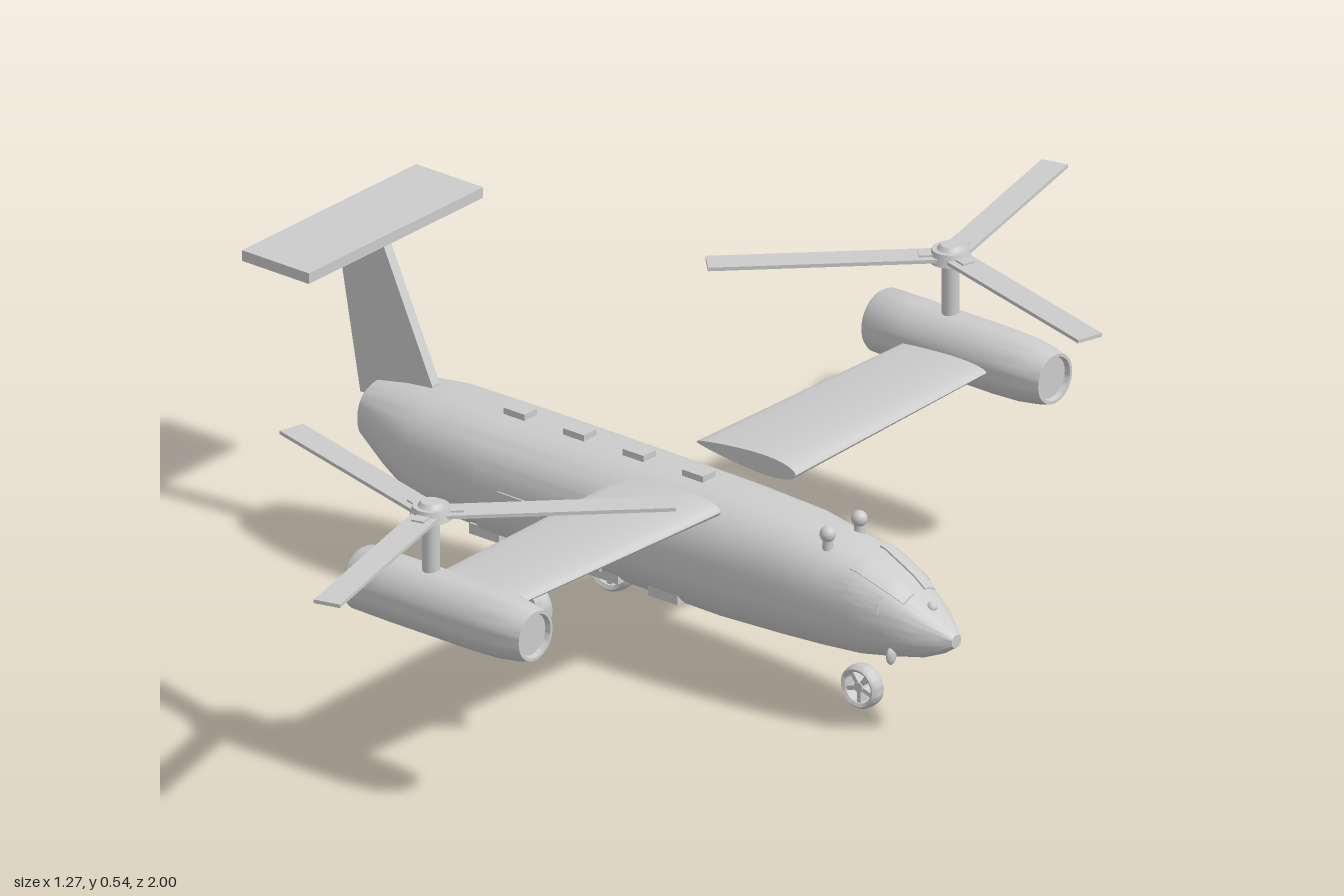
import * as THREE from 'three';
import { toCreasedNormals, mergeGeometries } from 'three/addons/utils/BufferGeometryUtils.js';

const material = new THREE.MeshStandardMaterial({ color: 0xcccccc, side: THREE.DoubleSide });

function add(parent, name, geometry, x = 0, y = 0, z = 0) {
  const mesh = new THREE.Mesh(geometry, material);
  mesh.name = name;
  mesh.position.set(x, y, z);
  parent.add(mesh);
  return mesh;
}

// Grid surface through point(i, j), with edges sharper than the crease kept hard
function loft(nu, nv, point, crease = 0.6) {
  const positions = [], index = [];
  for (let i = 0; i <= nu; i++) for (let j = 0; j <= nv; j++) positions.push(...point(i, j));
  for (let i = 0; i < nu; i++) for (let j = 0; j < nv; j++) {
    const a = i * (nv + 1) + j, b = a + nv + 1;
    index.push(a, b, b + 1, a, b + 1, a + 1);
  }
  const g = new THREE.BufferGeometry();
  g.setAttribute('position', new THREE.Float32BufferAttribute(positions, 3));
  g.setIndex(index);
  return toCreasedNormals(g, crease);
}

// Fuselage stations: x, bottom, top, half width
const stations = [
  [-0.53, 0.188, 0.285, 0.058], [-0.47, 0.155, 0.297, 0.082], [-0.4, 0.118, 0.305, 0.1],
  [-0.25, 0.112, 0.305, 0.107], [0, 0.106, 0.305, 0.107], [0.2, 0.102, 0.305, 0.102],
  [0.32, 0.106, 0.302, 0.095], [0.4, 0.11, 0.289, 0.087], [0.47, 0.115, 0.28, 0.078],
  [0.53, 0.127, 0.253, 0.065], [0.58, 0.138, 0.222, 0.045], [0.61, 0.151, 0.202, 0.026],
  [0.63, 0.165, 0.186, 0.011],
];

// Point on the hull at x and angle (0 = left side, 90 degrees = top), raised by lift
function hull(x, angle, lift = 0) {
  let k = 0;
  while (k < stations.length - 2 && x > stations[k + 1][0]) k++;
  const t = (x - stations[k][0]) / (stations[k + 1][0] - stations[k][0]);
  const [, lo, hi, w] = stations[k].map((v, n) => THREE.MathUtils.lerp(v, stations[k + 1][n], t));
  const bend = v => Math.sign(v) * Math.abs(v) ** (2 / 2.35);
  const c = Math.cos(angle), s = Math.sin(angle);
  return [x, (lo + hi) / 2 + bend(s) * ((hi - lo) / 2 + lift), bend(c) * (w + lift)];
}

// Raised panel following the hull, closed around its rim
function panel(x0, x1, a0, a1, lift) {
  const n = 10, f = i => THREE.MathUtils.clamp((i - 1) / (n - 2), 0, 1);
  return loft(n, n, (i, j) => {
    const rim = i === 0 || j === 0 || i === n || j === n;
    return hull(x0 + (x1 - x0) * f(i), THREE.MathUtils.degToRad(a0 + (a1 - a0) * f(j)), rim ? -0.002 : lift);
  });
}

function buildFuselage(group) {
  const last = stations.length - 1, seg = 48;
  add(group, 'fuselage', loft(last + 2, seg, (i, j) => {
    const x = stations[THREE.MathUtils.clamp(i - 1, 0, last)][0];
    const p = hull(x, j / seg * Math.PI * 2);
    if (i === 0) return [x, 0.237, p[2] * 0.001];
    if (i === last + 2) return [x, 0.175, p[2] * 0.001];
    return p;
  }, 0.5));

  // Roof hatches and the rows of belly fittings
  for (const x of [-0.25, -0.13, -0.01, 0.11]) {
    add(group, 'roofHatch', new THREE.BoxGeometry(0.042, 0.02, 0.03), x, 0.305, 0);
    for (const s of [1, -1])
      add(group, 'bellyFitting', new THREE.BoxGeometry(0.06, 0.018, 0.024), x, 0.133, s * 0.075);
  }

  for (const s of [1, -1]) {
    const side = a => s > 0 ? a : 180 - a;
    const on = (name, x0, x1, a0, a1, lift) =>
      add(group, name, panel(x0, x1, Math.min(side(a0), side(a1)), Math.max(side(a0), side(a1)), lift));
    on('sideDoor', -0.255, -0.01, -36, 30, 0.006);
    on('doorRail', -0.2, -0.06, 4, 8, 0.01);
    on('windshield', 0.46, 0.555, 52, 80, 0.003);
    on('sideWindow', 0.44, 0.525, 16, 42, 0.003);
    // Roof sensor turrets
    add(group, 'sensorPost', new THREE.CylinderGeometry(0.008, 0.009, 0.03, 16), 0.402, 0.288, s * 0.038);
    add(group, 'sensorHead', new THREE.SphereGeometry(0.013, 20, 14), 0.402, 0.305, s * 0.038);
    // Nose lamps
    add(group, 'noseLamp', new THREE.SphereGeometry(0.013, 16, 12), 0.54, 0.143, s * 0.05).scale.set(0.5, 1.2, 0.8);
  }
  add(group, 'noseSensor', new THREE.SphereGeometry(0.009, 16, 12), 0.58, 0.219, 0);
}

function buildTail(group) {
  const outline = new THREE.Shape([[-0.615, 0.53], [-0.565, 0.255], [-0.42, 0.255], [-0.42, 0.305], [-0.525, 0.53]]
    .map(p => new THREE.Vector2(...p)));
  add(group, 'tailFin', new THREE.ExtrudeGeometry(outline, { depth: 0.018, bevelEnabled: false }), 0, 0, -0.009);
  add(group, 'tailPlane', new THREE.BoxGeometry(0.135, 0.018, 0.42), -0.568, 0.535, 0);
}

// Tapered wing with an aerofoil section, on side s
function wing(s) {
  const seg = 32;
  return loft(3, seg, (i, j) => {
    const tip = i > 1, cap = i === 0 || i === 3 ? 0.001 : 1;
    const a = -s * j / seg * Math.PI * 2, c = Math.cos(a);
    const chord = tip ? 0.085 : 0.1, thick = tip ? 0.011 : 0.021;
    return [(tip ? 0.125 : 0.13) + c * chord * cap,
      0.309 + Math.sin(a) * (0.72 + 0.35 * c) * thick * cap, s * (tip ? 0.59 : 0.09)];
  });
}

function buildRotor(s) {
  const rotor = new THREE.Group();
  rotor.name = 'rotor';
  add(rotor, 'mast', new THREE.CylinderGeometry(0.014, 0.014, 0.12, 24), 0, -0.06, 0);
  add(rotor, 'hub', new THREE.CylinderGeometry(0.029, 0.034, 0.02, 32), 0, 0.002, 0);
  add(rotor, 'hubCap', new THREE.CylinderGeometry(0.016, 0.022, 0.008, 24), 0, 0.015, 0);
  for (let k = 0; k < 3; k++) {
    const pivot = new THREE.Group();
    pivot.name = 'bladePivot';
    pivot.rotation.y = -THREE.MathUtils.degToRad((s > 0 ? 195.3 : 15.3) + k * 120);
    add(pivot, 'blade', new THREE.BoxGeometry(0.365, 0.006, 0.045), 0.196, 0, 0);
    add(pivot, 'bladeRoot', new THREE.BoxGeometry(0.04, 0.012, 0.022), 0.03, 0, 0);
    rotor.add(pivot);
  }
  return rotor;
}

function buildWings(group) {
  // Engine pod outline: radius, position along x
  const pod = new THREE.LatheGeometry([[0, -0.035], [0.044, -0.035], [0.049, -0.045], [0.052, -0.04], [0.053, 0.03],
    [0.053, 0.2], [0.051, 0.25], [0.046, 0.285], [0.041, 0.305], [0.036, 0.305], [0.034, 0.296], [0, 0.296]]
    .map(p => new THREE.Vector2(...p)), 40);
  pod.rotateZ(-Math.PI / 2);
  const podGeometry = toCreasedNormals(pod, 0.6);
  for (const s of [1, -1]) {
    add(group, s > 0 ? 'leftWing' : 'rightWing', wing(s));
    add(group, 'enginePod', podGeometry, 0, 0.308, s * 0.626);
    const rotor = buildRotor(s);
    rotor.position.set(0.094, 0.457, s * 0.626);
    group.add(rotor);
  }
}

function buildWheel(radius, width) {
  const wheel = new THREE.Group();
  wheel.name = 'wheel';
  const h = width / 2, inner = radius * 0.72;
  const tyre = new THREE.LatheGeometry([[inner, -h * 0.8], [radius * 0.86, -h], [radius * 0.96, -h * 0.75], [radius, 0],
    [radius * 0.96, h * 0.75], [radius * 0.86, h], [inner, h * 0.8], [inner, -h * 0.8]]
    .map(p => new THREE.Vector2(...p)), 40);
  tyre.rotateX(Math.PI / 2);
  add(wheel, 'tyre', toCreasedNormals(tyre, 0.7));
  const spokes = [];
  for (let k = 0; k < 5; k++) {
    const spoke = new THREE.BoxGeometry(radius * 0.2, inner, width * 0.6);
    spokes.push(spoke.translate(0, inner / 2, 0).rotateZ(Math.PI + k * Math.PI * 0.4));
  }
  add(wheel, 'spokes', mergeGeometries(spokes));
  add(wheel, 'wheelHub', new THREE.CylinderGeometry(radius * 0.24, radius * 0.24, width * 0.75, 24)).rotation.x = Math.PI / 2;
  return wheel;
}

function buildWheels(group) {
  for (const [x, y, z, r, w] of [[-0.15, 0.044, 0.105, 0.044, 0.034], [-0.15, 0.044, -0.105, 0.044, 0.034], [0.44, 0.045, 0, 0.036, 0.028]]) {
    const wheel = buildWheel(r, w);
    wheel.position.set(x, y, z);
    group.add(wheel);
  }
}

export function createModel() {
  const group = new THREE.Group();
  group.name = 'tiltrotorAircraft';
  buildFuselage(group);
  buildTail(group);
  buildWings(group);
  buildWheels(group);
  return group;
}
